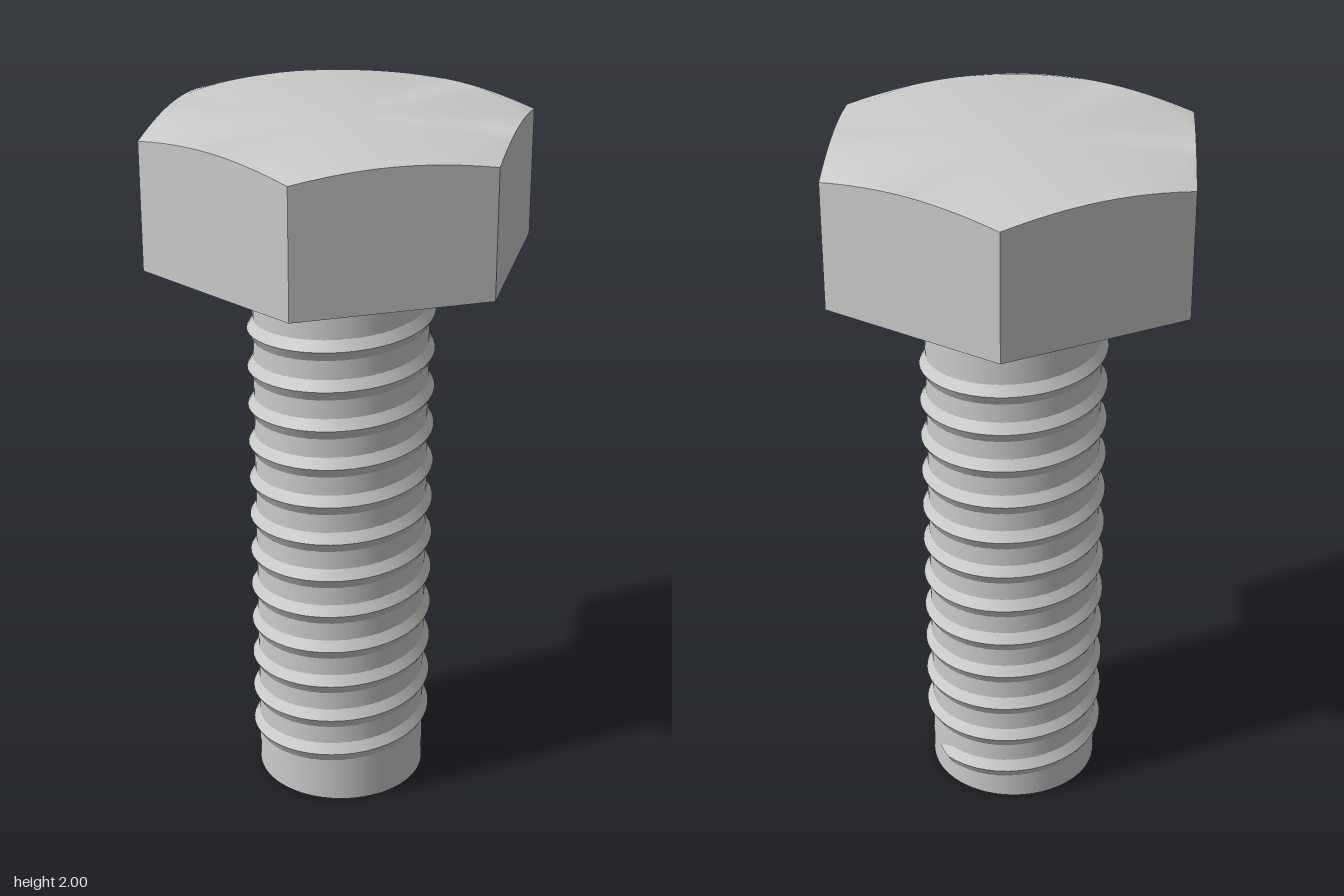
import * as THREE from 'three';
import { toCreasedNormals } from 'three/addons/utils/BufferGeometryUtils.js';

const HEAD_BOTTOM = 1.62, TOP = 2;
const FLAT = 0.473, CORNER = 0.546;      // hexagon across flats / corners (half)
const SHANK_R = 0.245, CREST_R = 0.262;

// Surface from rows (top to bottom) and columns (angle) of points
function gridSurface(rows, cols, pointAt) {
  const pos = [], index = [];
  for (let i = 0; i <= rows; i++)
    for (let j = 0; j <= cols; j++) {
      const [r, y, a] = pointAt(i, j);
      pos.push(r * Math.cos(a), y, -r * Math.sin(a));
    }
  for (let i = 0; i < rows; i++)
    for (let j = 0; j < cols; j++) {
      const a = i * (cols + 1) + j, b = a + cols + 1;
      index.push(a, b, b + 1, a, b + 1, a + 1);
    }
  const geometry = new THREE.BufferGeometry();
  geometry.setAttribute('position', new THREE.Float32BufferAttribute(pos, 3));
  geometry.setIndex(index);
  return toCreasedNormals(geometry, 0.5);
}

// Hexagonal head whose top corners are cut by a shallow cone
function headGeometry() {
  const cols = 72;
  return gridSurface(4, cols, (i, j) => {
    const a = (j / cols) * Math.PI * 2;
    const fromFlat = (a % (Math.PI / 3)) - Math.PI / 6;
    const edge = FLAT / Math.cos(fromFlat);
    const edgeY = TOP - 0.025 * (edge - FLAT) / (CORNER - FLAT);
    return [
      [0, TOP, a],
      [FLAT - 0.004, TOP, a],
      [edge, edgeY, a],
      [edge, HEAD_BOTTOM, a],
      [0, HEAD_BOTTOM, a],
    ][i];
  });
}

// Helical V-shaped ridge, fading out at both ends
function threadGeometry() {
  const turns = 12, perTurn = 48, cols = turns * perTurn;
  const startY = 0.085, pitch = 0.115, halfHeight = 0.032, fade = 0.3;
  return gridSurface(2, cols, (i, j) => {
    const a = (j / perTurn) * Math.PI * 2;
    const fromEnd = Math.min(a, turns * Math.PI * 2 - a);
    const size = Math.min(1, 0.15 + fromEnd / fade);
    const y = startY + pitch * (j / perTurn) + (1 - i) * halfHeight * size;
    const root = SHANK_R - 0.001;
    return [i === 1 ? root + (CREST_R - root) * size : root, y, a];
  });
}

export function createModel() {
  const group = new THREE.Group();
  group.name = 'hexBolt';
  const material = new THREE.MeshStandardMaterial({ color: 0xcccccc });
  const add = (name, geometry, mat = material) => {
    const mesh = new THREE.Mesh(geometry, mat);
    mesh.name = name;
    group.add(mesh);
    return mesh;
  };

  add('head', headGeometry());

  // Plain cylindrical shank
  const shank = add('shank', new THREE.CylinderGeometry(SHANK_R, SHANK_R, HEAD_BOTTOM, 64));
  shank.position.y = HEAD_BOTTOM / 2;

  const threadMaterial = material.clone();
  threadMaterial.side = THREE.DoubleSide;
  add('thread', threadGeometry(), threadMaterial);

  return group;
}
